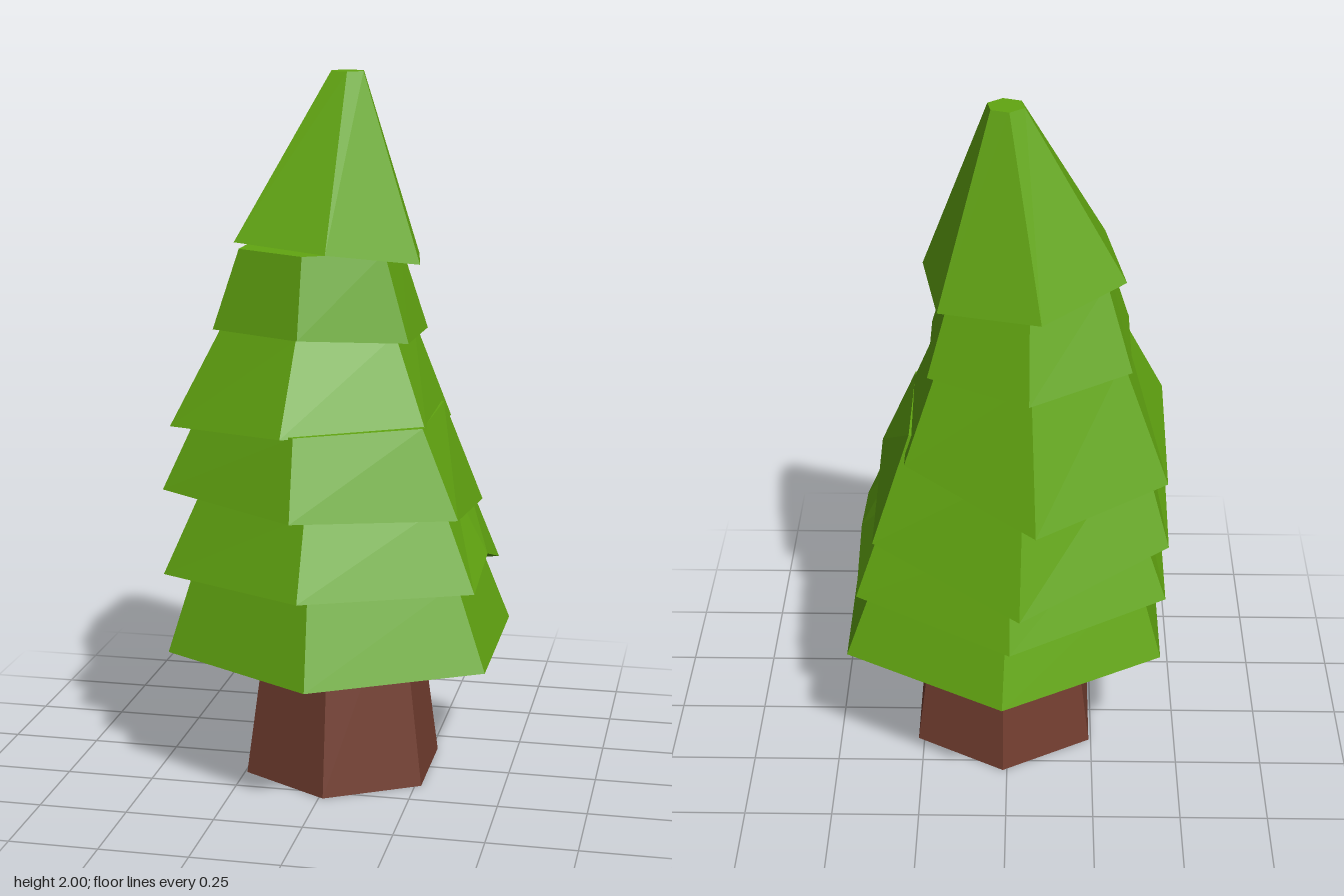
import * as THREE from 'three';

// Each tier: rim centre (x, z), rim radius, rim corner heights (front, then towards +x and round),
// top centre (x, y, z), top radius, yaw in degrees, optional raised notch on the +x edge.
const TIERS = [
  { rim: [0.01, 0], r: 0.52, ys: [0.39, 0.39, 0.39, 0.39, 0.39, 0.39], top: [0, 0.63, 0], rt: 0.43 },
  { rim: [-0.01, 0.01], r: 0.507, ys: [0.635, 0.615, 0.58, 0.56, 0.58, 0.62], top: [-0.01, 0.85, 0.02], rt: 0.395, notch: 0.66 },
  { rim: [-0.037, 0.005], r: 0.48, ys: [0.845, 0.815, 0.755, 0.655, 0.75, 0.86], top: [-0.045, 1.06, 0.03], rt: 0.368 },
  { rim: [-0.08, -0.015], r: 0.42, ys: [1.055, 1.035, 1.005, 0.9, 0.95, 1.03], top: [-0.065, 1.3, -0.015], rt: 0.285 },
  { rim: [-0.06, -0.04], r: 0.32, ys: [1.3, 1.275, 1.265, 1.265, 1.285, 1.295], top: [-0.06, 1.52, -0.02], rt: 0.237 },
  { rim: [-0.04, -0.04], r: 0.295, ys: [1.53, 1.485, 1.475, 1.49, 1.525, 1.545], top: [0.005, 2, -0.08], rt: 0.052, yaw: 10 },
];

function hexagon(cx, cz, r, ys, yaw = 0) {
  return ys.map((y, i) => {
    const a = THREE.MathUtils.degToRad(60 * i + yaw);
    return new THREE.Vector3(cx + r * Math.sin(a), y, cz + r * Math.cos(a));
  });
}

// Faceted skin over a stack of closed loops
function skin(loops) {
  const pts = [];
  const tri = (a, b, c) => {
    if (!a.equals(b) && !b.equals(c) && !c.equals(a)) pts.push(a, b, c);
  };
  for (let k = 0; k < loops.length - 1; k++) {
    const lo = loops[k], hi = loops[k + 1], n = lo.length;
    for (let i = 0; i < n; i++) {
      const j = (i + 1) % n;
      tri(lo[i], lo[j], hi[j]);
      tri(lo[i], hi[j], hi[i]);
    }
  }
  const geometry = new THREE.BufferGeometry().setFromPoints(pts);
  geometry.computeVertexNormals();
  return geometry;
}

// Hollow skirt of branches: ceiling, inner wall, underside ring, outer wall, cap
function tierGeometry({ rim, r, ys, top, rt, yaw, notch }) {
  const outer = hexagon(rim[0], rim[1], r, ys, yaw);
  const upper = hexagon(top[0], top[2], rt, ys.map(() => top[1]), yaw);
  if (notch) {
    for (const loop of [outer, upper]) loop.splice(2, 0, loop[1].clone().lerp(loop[2], 0.5));
    outer[2].y = notch;
  }
  const middle = new THREE.Vector3(rim[0], ys.reduce((s, y) => s + y, 0) / 6, rim[1]);
  const peak = new THREE.Vector3(...top);
  const ceiling = peak.clone().setY(top[1] - 0.02);
  const innerLow = outer.map(p => p.clone().lerp(middle, 0.32));
  const innerHigh = upper.map(p => p.clone().setY(ceiling.y).lerp(ceiling, 0.32));
  return skin([outer.map(() => ceiling), innerHigh, innerLow, outer, upper, outer.map(() => peak)]);
}

export function createModel() {
  const leafGreen = new THREE.MeshStandardMaterial({ color: 0x62a611, flatShading: true });
  leafGreen.name = 'leafGreen';
  const barkBrown = new THREE.MeshStandardMaterial({ color: 0x733e30, flatShading: true });
  barkBrown.name = 'barkBrown';

  const tree = new THREE.Group();
  tree.name = 'pineTree';

  // Tapered six-sided trunk
  const trunk = new THREE.Mesh(new THREE.CylinderGeometry(0.21, 0.295, 0.6, 6), barkBrown);
  trunk.name = 'trunk';
  trunk.position.set(0.012, 0.3, 0);
  tree.add(trunk);

  // Uneven tiers of foliage
  TIERS.forEach((tier, i) => {
    const mesh = new THREE.Mesh(tierGeometry(tier), leafGreen);
    mesh.name = `foliageTier${i + 1}`;
    tree.add(mesh);
  });
  return tree;
}
